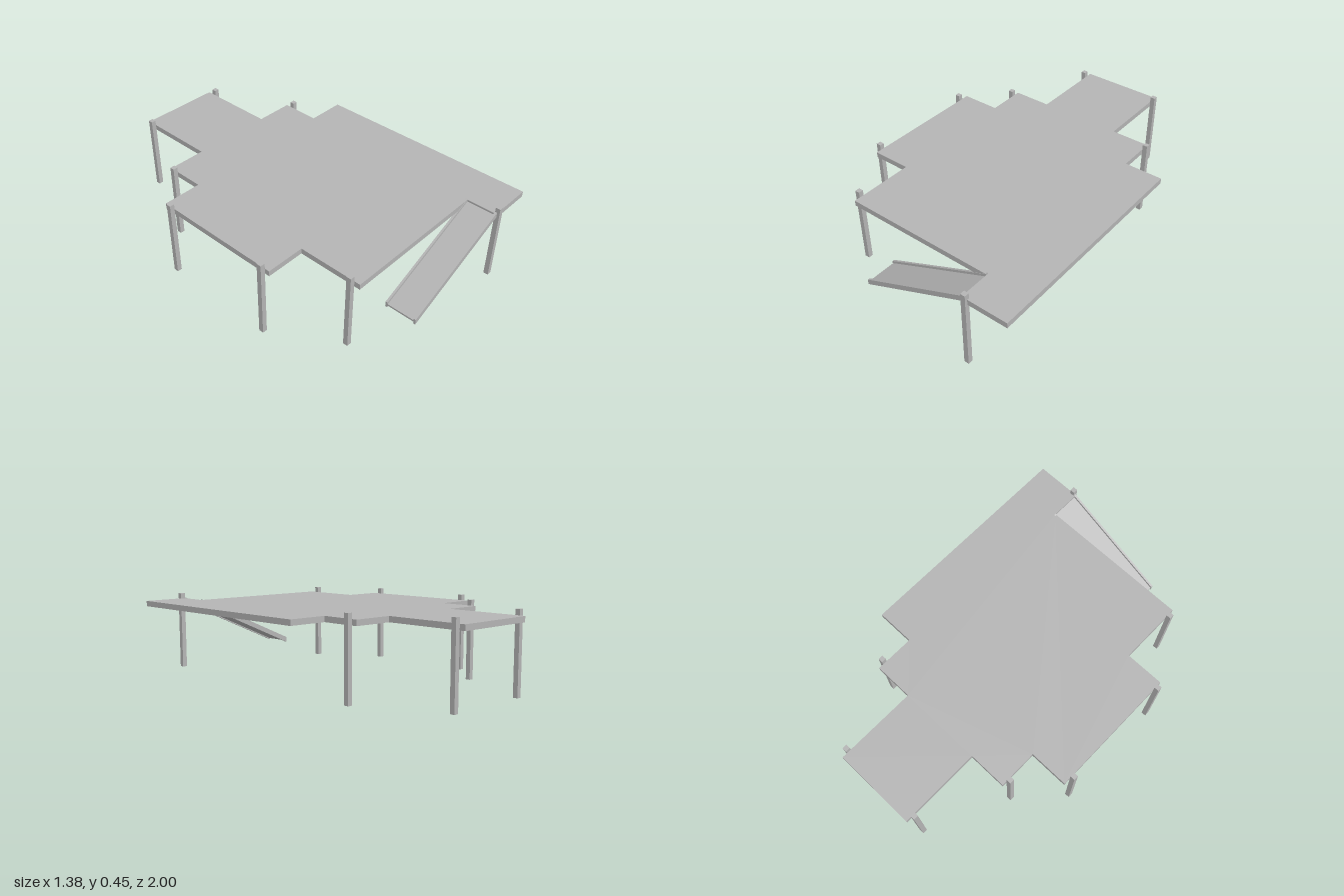
import * as THREE from 'three';

export function createModel() {
  const model = new THREE.Group();
  const grey = new THREE.MeshStandardMaterial({ color: 0xb4b4b4 });
  grey.name = 'grey';

  const add = (name, geometry) => {
    const mesh = new THREE.Mesh(geometry, grey);
    mesh.name = name;
    model.add(mesh);
    return mesh;
  };
  const extrude = (points, depth) => new THREE.ExtrudeGeometry(
    new THREE.Shape(points.map(([a, b]) => new THREE.Vector2(a, b))),
    { depth, bevelEnabled: false });

  // Stepped deck, outline given as x, z
  const deck = extrude([
    [-0.225, -1], [0.25, -1], [0.25, -0.535], [0.472, -0.535],
    [0.472, -0.312], [0.69, -0.312], [0.69, 0.985], [0.43, 0.985],
    [0.43, 0.81], [-0.445, 0.81], [-0.445, 0.442], [-0.667, 0.442],
    [-0.667, -0.312], [-0.445, -0.312], [-0.445, -0.535], [-0.225, -0.535],
  ], 0.031);
  deck.rotateX(Math.PI / 2);
  deck.translate(0, 0.416, 0);
  add('deck', deck);

  // Square posts standing against the deck edge, as x, z
  const posts = [
    [-0.239, -0.955], [0.263, -0.955], [-0.459, -0.493], [0.487, -0.493],
    [-0.68, -0.256], [-0.68, 0.4], [-0.459, 0.763], [0.45, 0.986],
  ];
  for (const [x, z] of posts) {
    add('post', new THREE.BoxGeometry(0.027, 0.447, 0.027)).position.set(x, 0.2235, z);
  }

  // Sloping bar running up to the deck
  const slope = 0.446;
  const slopingBar = (name, x0, x1, yLow, height, z0, z1) => {
    const yHigh = yLow + slope * (x1 - x0);
    const bar = extrude([[x0, yLow], [x1, yHigh], [x1, yHigh + height], [x0, yLow + height]], z1 - z0);
    bar.translate(0, 0, z0);
    add(name, bar);
  };

  // Ramp floor between two side rails
  slopingBar('rampFloor', -0.21, 0.43, 0.11, 0.01, 0.81, 0.974);
  slopingBar('rampFrontRail', -0.213, 0.435, 0.102, 0.031, 0.973, 0.985);
  slopingBar('rampBackRail', -0.213, 0.43, 0.102, 0.031, 0.8, 0.812);

  return model;
}
